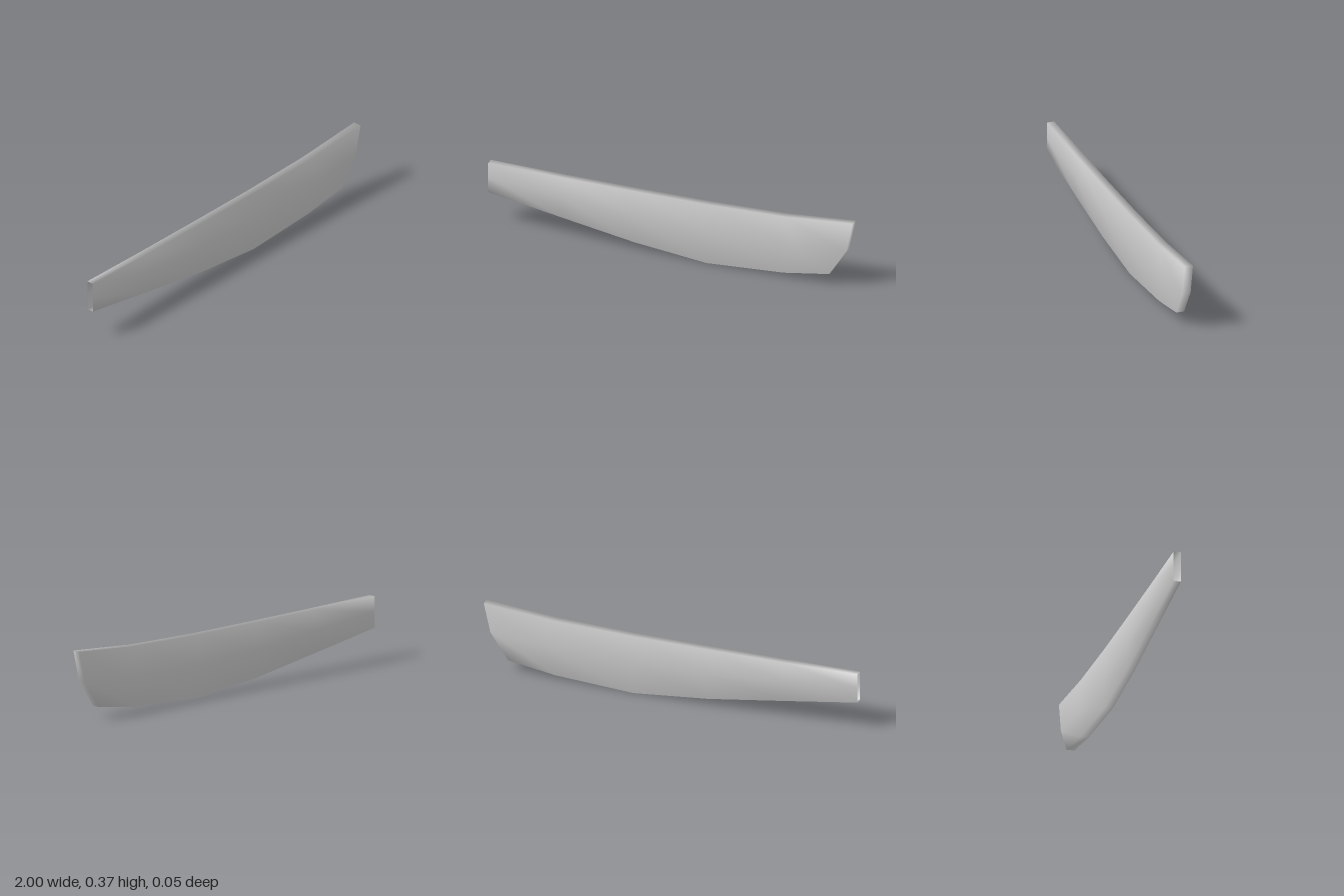
import * as THREE from 'three';

// Stations along the blade: [x, y, front z] at the top, middle and bottom of each
const stations = [
  [[-1, 0.336, 0.017], [-1, 0.254, 0.017], [-1, 0.172, 0.016]],
  [[-0.6, 0.331, 0.019], [-0.6, 0.22, 0.018], [-0.6, 0.106, 0.017]],
  [[-0.2, 0.329, 0.021], [-0.2, 0.187, 0.02], [-0.2, 0.042, 0.019]],
  [[0.2, 0.33, 0.022], [0.2, 0.17, 0.021], [0.2, 0, 0.02]],
  [[0.62, 0.341, 0.023], [0.68, 0.185, 0.022], [0.62, 0.025, 0.02]],
  [[1, 0.372, 0.023], [0.965, 0.21, 0.022], [0.87, 0.064, 0.02]],
];
const BACK = -0.022;

function bladeGeometry() {
  const positions = [];
  const index = [];
  const quad = (a, b, c, d) => index.push(a, b, c, a, c, d);

  // Each ring runs down the front and up the back
  for (const rows of stations) {
    for (const [x, y, z] of rows) positions.push(x, y, z);
    for (const [x, y] of [...rows].reverse()) positions.push(x, y, BACK);
  }
  for (let i = 0; i < stations.length - 1; i++) {
    for (let j = 0; j < 6; j++) {
      const a = i * 6 + j;
      const d = i * 6 + (j + 1) % 6;
      quad(a, d, d + 6, a + 6);
    }
  }
  // Closed slanted tip; the narrow end stays open
  const e = (stations.length - 1) * 6;
  quad(e, e + 1, e + 4, e + 5);
  quad(e + 1, e + 2, e + 3, e + 4);

  const geometry = new THREE.BufferGeometry();
  geometry.setAttribute('position', new THREE.Float32BufferAttribute(positions, 3));
  geometry.setIndex(index);
  geometry.computeVertexNormals();
  return geometry;
}

export function createModel() {
  const group = new THREE.Group();
  const blade = new THREE.Mesh(
    bladeGeometry(),
    new THREE.MeshStandardMaterial({ color: 0xcccccc, side: THREE.DoubleSide })
  );
  blade.name = 'blade';
  group.add(blade);
  return group;
}
